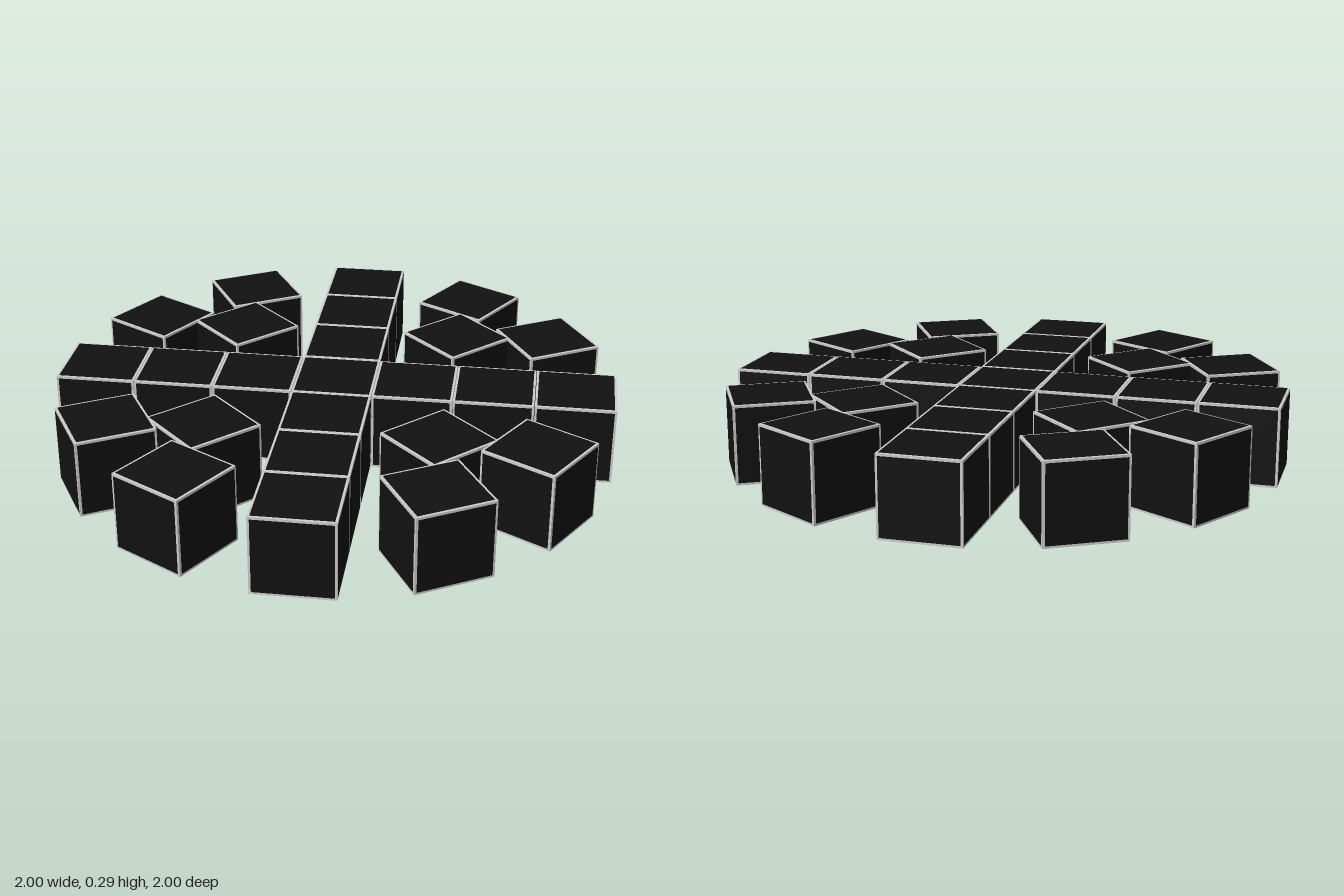
import * as THREE from 'three';
import { mergeGeometries } from 'three/addons/utils/BufferGeometryUtils.js';

const S = 2 / 7;       // cube size, seven cubes across
const LIFT = 0.001;    // panels sit just proud of the core
const MARGIN = 0.009;  // width of the grey rim on each face

const rimMaterial = new THREE.MeshStandardMaterial({ color: 0xcccccc });
const panelMaterial = new THREE.MeshStandardMaterial({ color: 0x111111 });

// Six square panels, one on each face of a cube
function panelGeometry() {
  const panels = [];
  const add = (rx, ry) => panels.push(
    new THREE.PlaneGeometry(S - 2 * MARGIN, S - 2 * MARGIN)
      .translate(0, 0, S / 2).rotateX(rx).rotateY(ry));
  for (let i = 0; i < 4; i++) add(0, i * Math.PI / 2);
  add(Math.PI / 2, 0);
  add(-Math.PI / 2, 0);
  return mergeGeometries(panels);
}

export function createModel() {
  const model = new THREE.Group();
  model.name = 'cubeRings';
  const coreSize = S - 2 * LIFT;
  const coreGeo = new THREE.BoxGeometry(coreSize, coreSize, coreSize);
  const panelGeo = panelGeometry();

  function addCube(parent, name, radius, angle) {
    const cube = new THREE.Group();
    cube.name = name;
    const core = new THREE.Mesh(coreGeo, rimMaterial);
    core.name = 'cubeRim';
    const panels = new THREE.Mesh(panelGeo, panelMaterial);
    panels.name = 'cubePanels';
    cube.add(core, panels);
    cube.position.set(radius * Math.cos(angle), S / 2, -radius * Math.sin(angle));
    cube.rotation.y = angle;
    parent.add(cube);
  }

  // Centre cube, then rings of 4, 8 and 12 cubes facing outward
  addCube(model, 'centreCube', 0, 0);
  for (let ring = 1; ring <= 3; ring++) {
    const group = new THREE.Group();
    group.name = `ring${ring}`;
    const count = 4 * ring;
    for (let i = 0; i < count; i++) {
      addCube(group, `ring${ring}Cube${i + 1}`, ring * S, i * 2 * Math.PI / count);
    }
    model.add(group);
  }
  return model;
}
